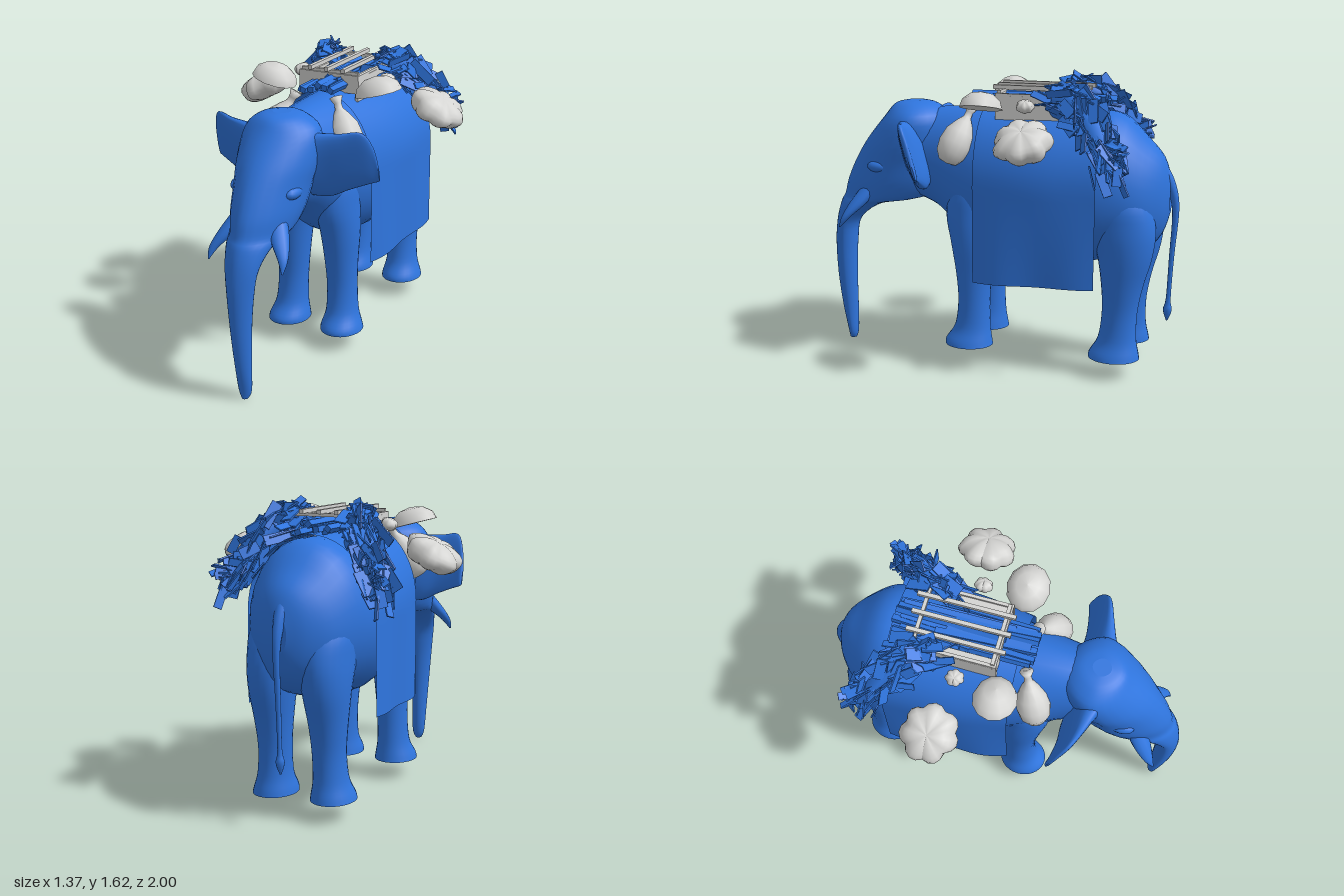
import * as THREE from 'three';
import { mergeGeometries } from 'three/addons/utils/BufferGeometryUtils.js';

const hide = new THREE.MeshStandardMaterial({ color: 0x2f75de, side: THREE.DoubleSide });
hide.name = 'blue';
const pale = new THREE.MeshStandardMaterial({ color: 0xd4d4d2 });
pale.name = 'pale grey';

let seed = 7;
const rnd = () => (seed = (seed * 16807) % 2147483647) / 2147483647;
const jit = (a) => (rnd() * 2 - 1) * a;

function add(group, name, geo, mat) {
  const m = new THREE.Mesh(geo, mat);
  m.name = name;
  group.add(m);
  return m;
}

// Smoothly lofts rings [t, p, q, rp, rq] along an axis; p and q are the next two axes in cyclic order
function loft(axis, rings, power = 1, n = 28, sub = 4) {
  const r = [...rings].sort((a, b) => a[0] - b[0]);
  const place = { z: (p, q, t) => [p, q, t], y: (p, q, t) => [q, t, p], x: (p, q, t) => [t, p, q] }[axis];
  const at = (i) => r[Math.max(0, Math.min(r.length - 1, i))];
  const list = [];
  for (let i = 0; i < r.length - 1; i++) {
    for (let k = 0; k < sub; k++) {
      const u = k / sub;
      list.push(r[i].map((_, c) => {
        const [a, b, d, e] = [at(i - 1)[c], at(i)[c], at(i + 1)[c], at(i + 2)[c]];
        return b + 0.5 * u * (d - a + u * (2 * a - 5 * b + 4 * d - e + u * (3 * (b - d) + e - a)));
      }));
    }
  }
  list.push(r[r.length - 1]);
  const pos = [], idx = [];
  const bend = (v) => Math.sign(v) * Math.abs(v) ** power;
  const ring = ([t, p, q, rp, rq]) => {
    for (let j = 0; j < n; j++) {
      const a = (j / n) * Math.PI * 2;
      pos.push(...place(p + rp * bend(Math.cos(a)), q + rq * bend(Math.sin(a)), t));
    }
  };
  list.forEach(ring);
  for (let i = 0; i < list.length - 1; i++) {
    for (let j = 0; j < n; j++) {
      const a = i * n + j, b = i * n + (j + 1) % n;
      idx.push(a, b, b + n, a, b + n, a + n);
    }
  }
  // End caps with their own vertices
  [list[0], list[list.length - 1]].forEach((e, k) => {
    const base = pos.length / 3;
    ring(e);
    pos.push(...place(e[1], e[2], e[0]));
    for (let j = 0; j < n; j++) {
      const a = base + j, b = base + (j + 1) % n;
      idx.push(base + n, ...(k ? [a, b] : [b, a]));
    }
  });
  const g = new THREE.BufferGeometry();
  g.setAttribute('position', new THREE.Float32BufferAttribute(pos, 3));
  g.setIndex(idx);
  g.computeVertexNormals();
  return g;
}

// Ear leaning forward at its top edge
function earGeometry(s) {
  const g = loft('x', [
    [s * 0.1, 1.17, 0.47, 0.18, 0.09], [s * 0.22, 1.165, 0.435, 0.185, 0.06],
    [s * 0.32, 1.19, 0.41, 0.165, 0.038], [s * 0.42, 1.215, 0.375, 0.15, 0.022],
    [s * 0.465, 1.18, 0.355, 0.1, 0.014], [s * 0.48, 1.13, 0.355, 0.04, 0.006]], 0.8);
  const p = g.attributes.position;
  for (let i = 0; i < p.count; i++) p.setZ(i, p.getZ(i) + 0.3 * (p.getY(i) - 1.17));
  g.computeVertexNormals();
  return g;
}

// Cloth arched over the back with straight hanging sides
function blanketGeometry() {
  const g = new THREE.PlaneGeometry(1, 1, 48, 16);
  const p = g.attributes.position;
  for (let i = 0; i < p.count; i++) {
    const u = p.getX(i) * 2, v = p.getY(i) + 0.5;
    const z = 0.07 - 0.68 * v;
    const w = 0.31 + 0.055 * Math.sin(Math.min(1, v * 1.5) * Math.PI / 2);
    const s = Math.sign(u), k = Math.abs(u);
    if (k <= 0.5) {
      const a = k * Math.PI;
      p.setXYZ(i, s * w * Math.sin(a), 1.03 + 0.41 * Math.cos(a), z);
    } else {
      const d = (k - 0.5) * 2;
      p.setXYZ(i, s * (w + 0.012 * d * Math.sin(v * 9)), 1.03 - d * (0.53 - 0.03 * v), z);
    }
  }
  g.computeVertexNormals();
  return g;
}

// Lumpy flattened bundle, about unit radius
function lumpyGeometry() {
  const g = new THREE.SphereGeometry(1, 28, 14);
  const p = g.attributes.position, v = new THREE.Vector3();
  for (let i = 0; i < p.count; i++) {
    v.fromBufferAttribute(p, i);
    const a = Math.atan2(v.z, v.x), flat = Math.hypot(v.x, v.z);
    const k = 0.94 + 0.15 * flat * (Math.abs(Math.cos(a * 3.5)) - 0.6) - 0.15 * (1 - flat) ** 2 + 0.04 * Math.sin(a * 2 + v.y * 5) * flat;
    p.setXYZ(i, v.x * k, v.y * k * 0.68, v.z * k);
  }
  g.computeVertexNormals();
  return g;
}

const lathe = (pts, n) => new THREE.LatheGeometry(pts.map(([x, y]) => new THREE.Vector2(x, y)), n);

export function createModel() {
  const model = new THREE.Group();
  model.name = 'elephantWithLoad';

  // Animal
  add(model, 'body', loft('z', [
    [-0.95, 0, 0.98, 0.04, 0.09], [-0.91, 0, 0.98, 0.135, 0.21], [-0.82, 0, 0.98, 0.235, 0.31],
    [-0.68, 0, 1.02, 0.305, 0.395], [-0.5, 0, 1.01, 0.34, 0.415], [-0.25, 0, 0.99, 0.33, 0.43],
    [0.03, 0, 1.02, 0.28, 0.4], [0.2, 0, 1.07, 0.235, 0.35], [0.35, 0, 1.13, 0.195, 0.28],
    [0.5, 0, 1.15, 0.17, 0.24]]), hide);
  add(model, 'headAndTrunk', loft('y', [
    [0, 0.915, 0, 0.02, 0.018], [0.05, 0.912, 0, 0.03, 0.038], [0.2, 0.925, 0, 0.046, 0.046],
    [0.4, 0.937, 0, 0.058, 0.058], [0.6, 0.935, 0, 0.064, 0.075], [0.74, 0.912, 0, 0.07, 0.095],
    [0.84, 0.825, 0, 0.13, 0.125], [0.89, 0.69, 0, 0.24, 0.155], [0.98, 0.63, 0, 0.275, 0.18],
    [1.1, 0.575, 0, 0.275, 0.195], [1.22, 0.525, 0, 0.25, 0.215], [1.35, 0.48, 0, 0.19, 0.205],
    [1.42, 0.485, 0, 0.125, 0.125], [1.44, 0.49, 0, 0.05, 0.05]], 1.13), hide);
  add(model, 'tail', loft('y', [
    [0.28, -0.95, 0, 0.004, 0.004], [0.34, -0.952, 0, 0.024, 0.022], [0.41, -0.955, 0, 0.013, 0.012],
    [0.65, -0.965, 0, 0.014, 0.014], [0.9, -0.978, 0, 0.019, 0.019], [1.03, -0.95, 0, 0.03, 0.028],
    [1.13, -0.895, 0, 0.04, 0.038], [1.2, -0.84, 0, 0.03, 0.03]], 1, 12), hide);
  for (const s of [1, -1]) {
    const side = s > 0 ? 'left' : 'right';
    add(model, side + 'FrontLeg', loft('y', [
      [0.1, 0.135, s * 0.167, 0.135, 0.118], [0.13, 0.135, s * 0.165, 0.13, 0.112],
      [0.21, 0.115, s * 0.16, 0.1, 0.09], [0.35, 0.108, s * 0.155, 0.09, 0.085],
      [0.5, 0.11, s * 0.15, 0.1, 0.092], [0.68, 0.115, s * 0.145, 0.125, 0.108],
      [0.84, 0.125, s * 0.13, 0.145, 0.12], [1, 0.125, s * 0.115, 0.12, 0.12],
      [1.2, 0.12, s * 0.1, 0.05, 0.05]]), hide);
    add(model, side + 'HindLeg', loft('y', [
      [0.1, -0.69, s * 0.167, 0.14, 0.118], [0.13, -0.69, s * 0.165, 0.135, 0.112],
      [0.21, -0.705, s * 0.16, 0.105, 0.092], [0.35, -0.715, s * 0.155, 0.096, 0.088],
      [0.5, -0.725, s * 0.155, 0.112, 0.1], [0.68, -0.735, s * 0.153, 0.15, 0.122],
      [0.84, -0.71, s * 0.145, 0.185, 0.138], [1, -0.685, s * 0.13, 0.16, 0.14],
      [1.2, -0.65, s * 0.1, 0.05, 0.05]]), hide);
    add(model, side + 'Ear', earGeometry(s), hide);
    add(model, side + 'Tusk', loft('y', [
      [0.73, 0.885, s * 0.215, 0.004, 0.004], [0.79, 0.85, s * 0.2, 0.026, 0.026],
      [0.87, 0.79, s * 0.15, 0.05, 0.048], [0.96, 0.73, s * 0.1, 0.05, 0.05]], 1, 12), hide);
    const brow = add(model, side + 'Brow', new THREE.SphereGeometry(1, 14, 10), hide);
    brow.scale.set(0.04, 0.035, 0.07);
    brow.position.set(s * 0.155, 1.08, 0.66);
  }

  add(model, 'blanket', blanketGeometry(), hide);

  // Pack frame with rails
  const frame = new THREE.Group();
  frame.name = 'packFrame';
  model.add(frame);
  const box = (name, w, h, d, x, y, z) =>
    add(frame, name, new THREE.BoxGeometry(w, h, d), pale).position.set(x, y, z);
  for (const x of [-0.1, 0, 0.1]) box('rail', 0.022, 0.022, 0.52, x, 1.545, -0.25);
  for (const z of [-0.46, -0.04]) box('crossBar', 0.34, 0.018, 0.02, 0, 1.527, z);
  for (const s of [1, -1]) {
    box('sidePanel', 0.018, 0.14, 0.39, s * 0.17, 1.45, -0.215);
    box('sideLedge', 0.05, 0.015, 0.26, s * 0.155, 1.5, -0.17);
  }
  box('frontPanel', 0.36, 0.1, 0.018, 0, 1.47, -0.03);

  // Firewood on the back
  const wood = [];
  for (let i = 0; i < 16; i++) {
    const len = 0.36 + rnd() * 0.25;
    const g = new THREE.BoxGeometry(0.032, 0.03, len);
    g.rotateZ(jit(0.8)).rotateX(jit(0.03)).rotateY(jit(0.09));
    const z = i % 2 ? 0.16 - len / 2 - rnd() * 0.06 : -0.68 + len / 2 + rnd() * 0.12;
    wood.push(g.translate(-0.1 + 0.2 * ((i * 7) % 16) / 15, 1.445 + rnd() * 0.05, z));
  }
  add(model, 'firewood', mergeGeometries(wood), hide);

  const lump = lumpyGeometry();
  const bowl = lathe([[0, 0], [1, 0], [1, 0.001], [0.88, 0.48], [0.52, 0.86], [0, 1]], 12);
  const jug = lathe([[0, 0], [0.05, 0.01], [0.08, 0.05], [0.09, 0.11], [0.08, 0.18],
    [0.046, 0.24], [0.022, 0.275], [0.02, 0.305], [0.036, 0.34], [0, 0.342]], 14);

  for (const s of [1, -1]) {
    const side = s > 0 ? 'left' : 'right';
    const sack = add(model, side + 'Sack', lump, pale);
    sack.scale.set(0.16, 0.13, 0.155);
    sack.position.set(s * 0.537, 1.33, -0.27);
    sack.rotation.z = -s * 0.5;
    const knot = add(model, side + 'Knot', lump, pale);
    knot.scale.set(0.045, 0.055, 0.05);
    knot.position.set(s * 0.265, 1.47, -0.21);
    knot.rotation.z = -s * 0.4;
    const dome = add(model, side + 'Bowl', bowl, pale);
    dome.scale.set(0.13, 0.09, 0.115);
    dome.position.set(s * 0.317, 1.457, 0.015);
    dome.rotation.z = s * 0.26;
    const pot = add(model, side + 'Jug', jug, pale);
    pot.position.set(s * 0.27, 1.145, 0.225);
    pot.quaternion.setFromUnitVectors(new THREE.Vector3(0, 1, 0), new THREE.Vector3(-s * 0.15, 0.29, -0.1).normalize());

    // Leafy branch bundle: thin slats scattered along a drooping curve
    seed = 41;
    const path = new THREE.CatmullRomCurve3([[0.18, 1.51, -0.36], [0.22, 1.49, -0.46], [0.32, 1.37, -0.58], [0.42, 1.17, -0.69]]
      .map(([x, y, z]) => new THREE.Vector3(s * x, y, z)));
    const slats = [new THREE.TubeGeometry(path, 10, 0.055, 7)];
    const up = new THREE.Vector3(0, 1, 0), q = new THREE.Quaternion();
    for (let i = 0; i < 150; i++) {
      const t = rnd(), spread = 0.065;
      const c = path.getPointAt(t), d = path.getTangentAt(t);
      d.add(new THREE.Vector3(s * jit(0.5), jit(0.5), jit(0.5))).normalize();
      const g = new THREE.BoxGeometry(0.035 + rnd() * 0.03, 0.09 + rnd() * 0.07, 0.008);
      g.rotateY(s * rnd() * Math.PI).applyQuaternion(q.setFromUnitVectors(up, d));
      slats.push(g.translate(c.x + s * jit(spread), c.y + jit(spread), c.z + jit(spread + 0.025)));
    }
    // Spray of leaves sticking out behind
    for (let i = 0; i < 22; i++) {
      const t = rnd(), g = new THREE.BoxGeometry(0.04, 0.1, 0.008);
      g.rotateY(s * rnd() * Math.PI).applyQuaternion(
        q.setFromUnitVectors(up, new THREE.Vector3(s * (0.6 + jit(0.3)), jit(0.4), -0.7).normalize()));
      slats.push(g.translate(s * (0.3 + 0.14 * t + jit(0.03)), 1.36 - 0.12 * t + jit(0.05), -0.62 - 0.14 * t + jit(0.03)));
    }
    add(model, side + 'BranchBundle', mergeGeometries(slats), hide);
  }
  return model;
}
